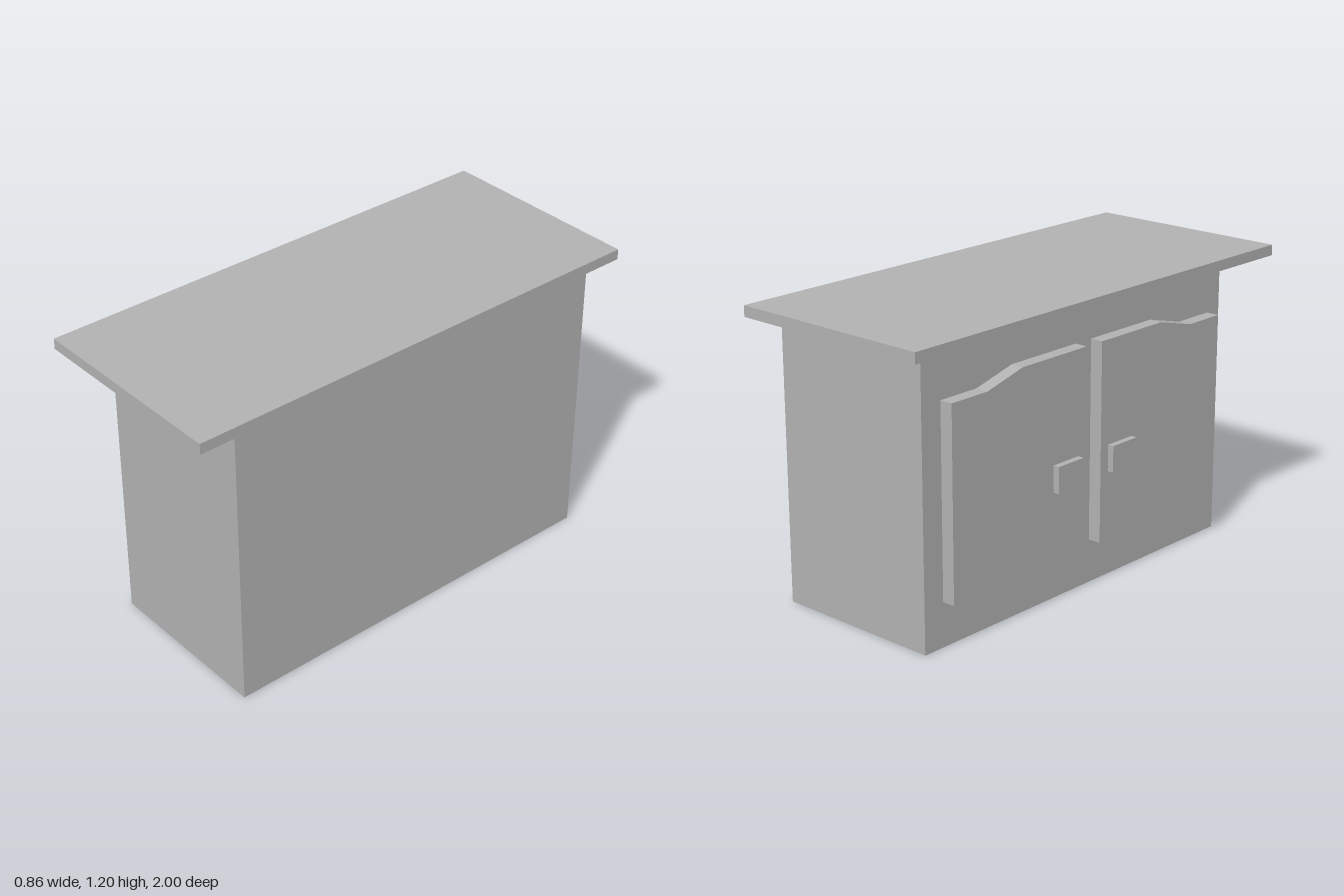
import * as THREE from 'three';

export function createModel() {
  const model = new THREE.Group();
  model.name = 'cabinet';
  const grey = new THREE.MeshStandardMaterial({ color: 0xb2b2b2 });
  grey.name = 'plain grey';

  // Box given by its minimum and maximum corners
  function box(name, [x0, y0, z0], [x1, y1, z1], parent = model) {
    const mesh = new THREE.Mesh(new THREE.BoxGeometry(x1 - x0, y1 - y0, z1 - z0), grey);
    mesh.position.set((x0 + x1) / 2, (y0 + y1) / 2, (z0 + z1) / 2);
    mesh.name = name;
    parent.add(mesh);
  }

  // Carcass and overhanging worktop
  box('body', [-0.282, 0, -0.83], [0.428, 1.157, 0.855]);
  box('worktop', [-0.43, 1.157, -1], [0.43, 1.2, 1]);

  // Door pair on the -x side: top edge steps down towards the outer side
  const doorCentre = 0.0235;
  const profile = [[0.044, 0.178], [0.759, 0.178], [0.759, 0.938], [0.578, 0.938], [0.394, 0.985], [0.044, 0.985]];
  for (const side of [-1, 1]) {
    const door = new THREE.Group();
    door.name = side < 0 ? 'backDoor' : 'frontDoor';
    door.position.z = doorCentre;

    const shape = new THREE.Shape(profile.map(([z, y]) => new THREE.Vector2(side * z, y)));
    const geometry = new THREE.ExtrudeGeometry(shape, { depth: 0.054, bevelEnabled: false });
    geometry.rotateY(-Math.PI / 2); // shape x becomes z, depth runs towards -x
    geometry.translate(-0.282, 0, 0);
    const panel = new THREE.Mesh(geometry, grey);
    panel.name = 'doorPanel';
    door.add(panel);

    // Square knob near the meeting edge
    const z = side * 0.156;
    box('knob', [-0.362, 0.46, z - 0.069], [-0.336, 0.567, z + 0.069], door);
    model.add(door);
  }
  return model;
}
